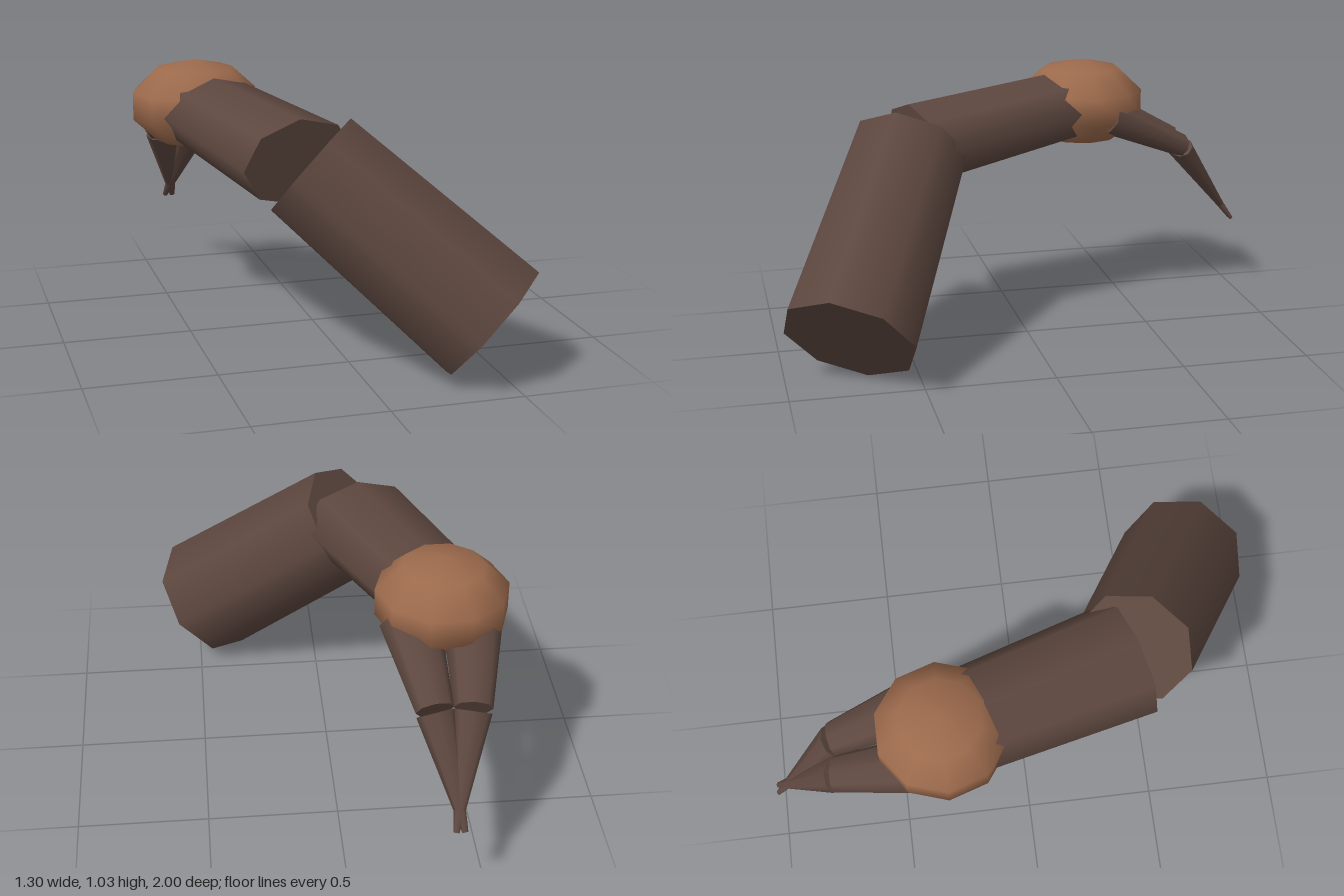
import * as THREE from 'three';

const limbBrown = new THREE.MeshStandardMaterial({ name: 'dark brown limb', color: 0x5d473f });
const palmBrown = new THREE.MeshStandardMaterial({ name: 'light brown palm', color: 0x9c6a4c });

// Tapered eight-sided limb from a to b; side is the width direction, flat the thickness ratio.
function limb(name, a, b, radiusA, radiusB, side, flat = 1) {
  const start = new THREE.Vector3(...a);
  const end = new THREE.Vector3(...b);
  const along = end.clone().sub(start);
  const length = along.length();
  along.normalize();
  const x = new THREE.Vector3(...side);
  x.addScaledVector(along, -x.dot(along)).normalize();
  const z = new THREE.Vector3().crossVectors(x, along);

  const mesh = new THREE.Mesh(new THREE.CylinderGeometry(radiusB, radiusA, length, 8), limbBrown);
  mesh.name = name;
  mesh.quaternion.setFromRotationMatrix(new THREE.Matrix4().makeBasis(x, along, z));
  mesh.position.copy(start).add(end).multiplyScalar(0.5);
  mesh.scale.z = flat;
  return mesh;
}

export function createModel() {
  const model = new THREE.Group();
  model.name = 'clawedArm';

  // Arm: round upper part, flattened forearm
  model.add(limb('upperArm', [0.46, 0.21, 0.77], [-0.13, 0.76, 0.44], 0.261, 0.235, [0.14, 0.21, 0.08]));
  model.add(limb('forearm', [-0.168, 0.77, 0.42], [-0.4, 0.86, -0.32], 0.235, 0.2, [1, 0, 0], 0.7));

  // Palm: flattened ball
  const palm = new THREE.Mesh(new THREE.SphereGeometry(0.263, 10, 5), palmBrown);
  palm.name = 'palm';
  palm.scale.y = 0.677;
  palm.position.set(-0.4, 0.858, -0.32);
  model.add(palm);

  // Two fingers whose claws cross at the tips
  const centre = -0.39;
  for (const [label, s] of [['left', 1], ['right', -1]]) {
    const at = (x, y, z) => [centre + s * x, y, z];
    model.add(limb(label + 'Finger', at(s > 0 ? 0.12 : 0.113, 0.82, -0.4), at(0.069, 0.663, -0.738), 0.113, 0.071, [1, 0, 0], 0.66));
    model.add(limb(label + 'Claw', at(0.067, 0.652, -0.742), at(-0.016, 0.308, -0.995), 0.071, 0.011, [1, 0, 0], 0.66));
  }
  return model;
}
